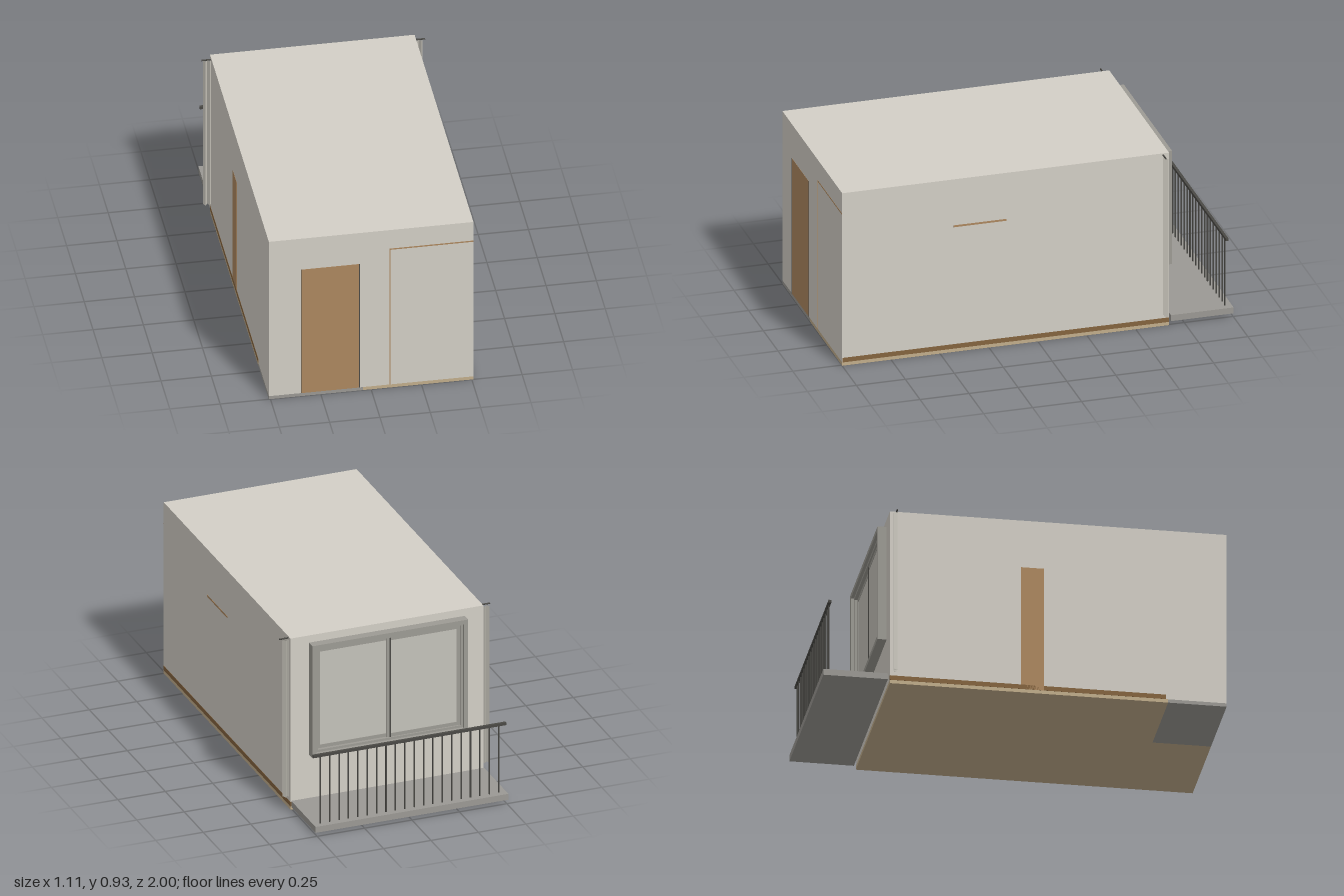
import * as THREE from 'three';

const mat = (name, color, side = THREE.FrontSide) => {
  const m = new THREE.MeshStandardMaterial({ color, side });
  m.name = name;
  return m;
};

export function createModel() {
  const root = new THREE.Group();
  root.name = 'roomWithBalcony';

  const wall = mat('plaster', 0xd3cfc6);
  const wood = mat('doorWood', 0xad8860);
  const darkWood = mat('skirtingWood', 0x84643f);
  const floorTan = mat('floorTan', 0xc2ae8c);
  const concrete = mat('concreteGrey', 0x9b9994);
  const frameGrey = mat('frameGrey', 0x9d9b94);
  const glass = mat('paneGrey', 0xc4c2ba);
  const metal = mat('darkMetal', 0x4a4945);
  const cloth = mat('curtainCloth', 0xcac7bd, THREE.DoubleSide);

  // box given by its limits on each axis
  const box = (name, m, [x0, x1], [y0, y1], [z0, z1], parent = root) => {
    const b = new THREE.Mesh(new THREE.BoxGeometry(x1 - x0, y1 - y0, z1 - z0), m);
    b.position.set((x0 + x1) / 2, (y0 + y1) / 2, (z0 + z1) / 2);
    b.name = name;
    parent.add(b);
    return b;
  };

  // rectangular frame in the xy plane, open in the middle
  const frame = (name, m, [x0, x1], [y0, y1], [z0, z1], t, parent) => {
    const s = new THREE.Shape();
    s.moveTo(x0, y0).lineTo(x1, y0).lineTo(x1, y1).lineTo(x0, y1).closePath();
    const h = new THREE.Path();
    h.moveTo(x0 + t, y0 + t).lineTo(x0 + t, y1 - t).lineTo(x1 - t, y1 - t).lineTo(x1 - t, y0 + t).closePath();
    s.holes.push(h);
    const f = new THREE.Mesh(new THREE.ExtrudeGeometry(s, { depth: z1 - z0, bevelEnabled: false }), m);
    f.position.z = z0;
    f.name = name;
    parent.add(f);
  };

  const W = 0.508, back = -0.67, H = 0.927, e = 0.001;

  // shell and floor, with a grey entry corner
  box('walls', wall, [-W, W], [0.018, H], [back, 1]);
  box('floorBack', floorTan, [-W, W], [0, 0.018], [back, 0.71]);
  box('floorFront', floorTan, [-0.04, W], [0, 0.018], [0.71, 1]);
  box('entryFloor', concrete, [-W, -0.04], [0, 0.018], [0.71, 1]);

  // skirting showing along the side walls
  box('skirtingLeft', darkWood, [W - 0.005, W + e], [0.018, 0.042], [back, 1 - e]);
  box('skirtingRight', darkWood, [-W - e, -W + 0.005], [0.018, 0.042], [back, 0.7]);

  // entrance door with dark edges
  box('frontDoor', wood, [-0.345, -0.058], [0.018, 0.745], [0.995, 1 + e]);
  for (const x of [-0.347, -0.058]) {
    box('doorEdge', metal, [x - 0.002, x + 0.002], [0.018, 0.745], [0.995, 1 + e * 1.5]);
  }

  // thin wooden trims of the cupboard and shelf
  box('cupboardTrimSide', wood, [0.09, 0.096], [0.018, 0.818], [0.995, 1 + e]);
  box('cupboardTrimTop', wood, [0.09, W], [0.811, 0.818], [0.995, 1 + e]);
  box('shelfEdge', wood, [W - 0.005, W + e], [0.67, 0.68], [0.16, 0.43]);

  // inner door showing on the right wall
  box('sideDoor', wood, [-W - e, -W + 0.005], [0.018, 0.675], [-0.02, 0.093]);

  // window: projecting frame, two sliding sashes
  const win = new THREE.Group();
  win.name = 'window';
  root.add(win);
  frame('windowFrame', frameGrey, [-0.41, 0.41], [0.28, 0.888], [-0.715, back], 0.022, win);
  frame('windowLiner', frameGrey, [-0.388, 0.388], [0.302, 0.866], [-0.7, back], 0.012, win);
  for (const [x0, x1, z] of [[-0.376, 0.01, -0.692], [-0.01, 0.376, -0.684]]) {
    frame('sash', frameGrey, [x0, x1], [0.314, 0.854], [z, z + 0.008], 0.018, win);
    box('pane', glass, [x0 + 0.018, x1 - 0.018], [0.332, 0.836], [z + 0.002, z + 0.006], win);
  }
  box('meetingStile', metal, [-0.011, -0.005], [0.314, 0.854], [-0.694, -0.684], win);

  // balcony slab and railing
  const balcony = new THREE.Group();
  balcony.name = 'balcony';
  root.add(balcony);
  box('balconySlab', concrete, [-W, W], [0.02, 0.052], [-1, -0.68], balcony);
  box('handrail', metal, [-W, W], [0.413, 0.427], [-0.974, -0.96], balcony);
  const bars = 20;
  for (let i = 0; i < bars; i++) {
    const bar = new THREE.Mesh(new THREE.CylinderGeometry(0.004, 0.004, 0.363, 8), metal);
    bar.position.set(-0.47 + (0.94 * i) / (bars - 1), 0.232, -0.967);
    bar.name = 'baluster';
    balcony.add(bar);
  }

  // curtain rod ends and folded curtains beyond each side wall
  for (const s of [-1, 1]) {
    const rod = new THREE.Mesh(new THREE.CylinderGeometry(0.004, 0.004, 0.055, 8), metal);
    rod.rotation.z = Math.PI / 2;
    rod.position.set(s * 0.5275, 0.918, -0.64);
    rod.name = 'curtainRod';
    root.add(rod);

    const folds = new THREE.PlaneGeometry(0.041, 0.848, 4, 1).toNonIndexed();
    const p = folds.attributes.position;
    for (let i = 0; i < p.count; i++) {
      const k = Math.round((p.getX(i) / 0.041 + 0.5) * 4);
      p.setZ(i, k % 2 ? 0.009 : -0.009);
    }
    folds.computeVertexNormals();
    const curtain = new THREE.Mesh(folds, cloth);
    curtain.position.set(s * 0.525, 0.486, -0.646);
    curtain.name = 'curtain';
    root.add(curtain);
  }

  return root;
}
